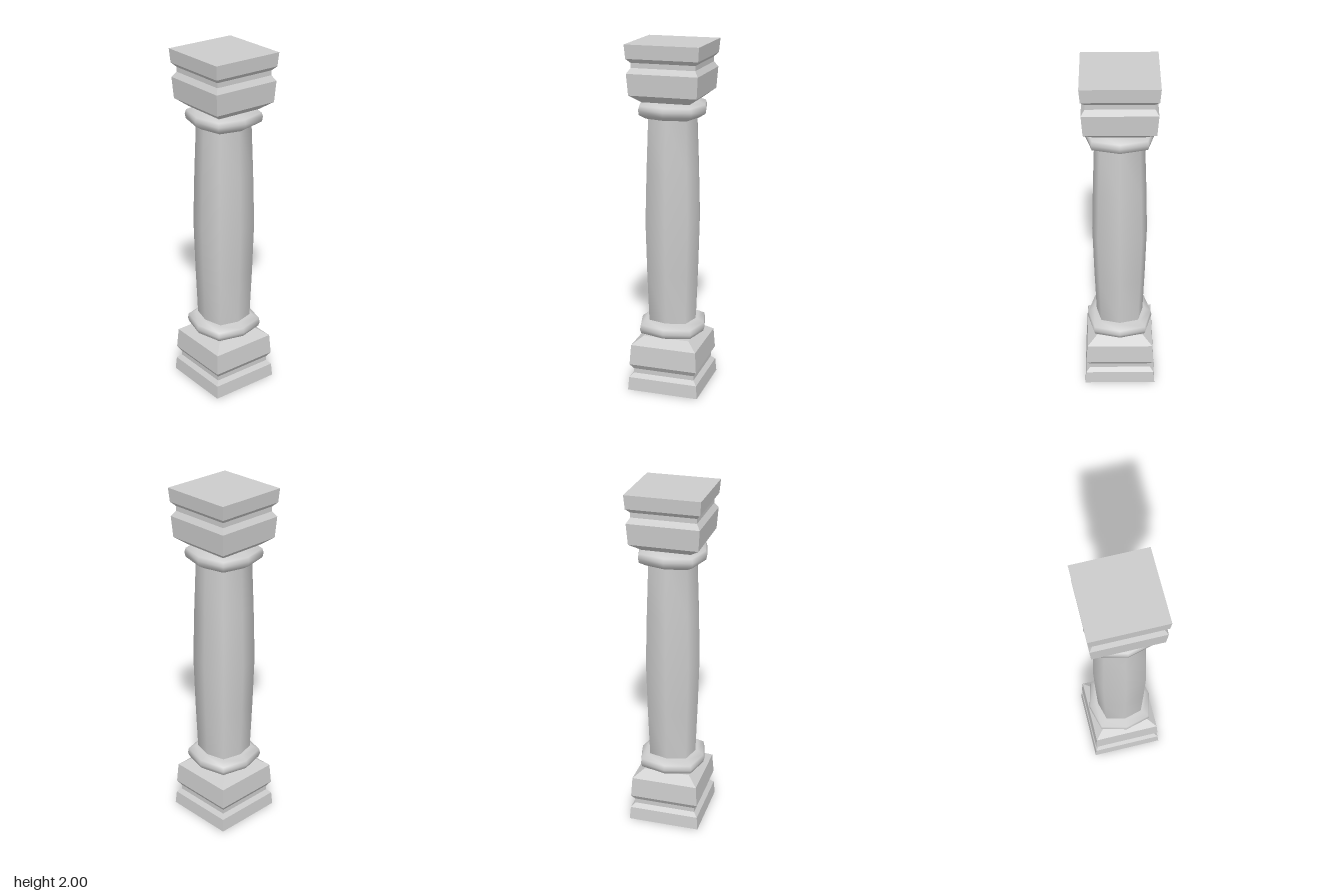
import * as THREE from 'three';
import { mergeVertices } from 'three/addons/utils/BufferGeometryUtils.js';

// Profiles are [half width, height] pairs, running upwards.
const BASE = [[0, 0], [0.208, 0], [0.202, 0.077], [0.18, 0.1], [0.18, 0.127],
  [0.2, 0.157], [0.192, 0.275], [0.135, 0.318], [0, 0.318]];
const RING = [[0, 0.318], [0.14, 0.318], [0.184, 0.337], [0.191, 0.36],
  [0.186, 0.388], [0.15, 0.41], [0, 0.41]];
const SHAFT = [[0.136, 0.4], [0.147, 0.7], [0.155, 1], [0.147, 1.3], [0.136, 1.6]];

const DIAGONAL = 1.12; // round parts are slightly squarish: wider on the diagonals

const flip = (profile) => profile.map(([r, y]) => [r, 2 - y]).reverse();
const toPoints = (profile, k = 1) => profile.map(([r, y]) => new THREE.Vector2(r * k, y));

// Four-sided moulding with flat faces
function squareMoulding(name, profile) {
  const geometry = new THREE.LatheGeometry(toPoints(profile, Math.SQRT2), 4, Math.PI / 4);
  const material = new THREE.MeshStandardMaterial({ color: 0xcccccc, flatShading: true });
  const mesh = new THREE.Mesh(geometry, material);
  mesh.name = name;
  return mesh;
}

// Eight-sided smooth part, with its diagonal corners pushed outwards
function roundPart(name, profile) {
  let geometry = new THREE.LatheGeometry(toPoints(profile), 8);
  const p = geometry.attributes.position;
  for (let i = 0; i < p.count; i++) {
    const x = p.getX(i), z = p.getZ(i);
    if (Math.abs(x * z) > 1e-6) {
      p.setX(i, x * DIAGONAL);
      p.setZ(i, z * DIAGONAL);
    }
  }
  geometry.deleteAttribute('uv');
  geometry.deleteAttribute('normal');
  geometry = mergeVertices(geometry, 1e-5);
  geometry.computeVertexNormals();
  const mesh = new THREE.Mesh(geometry, new THREE.MeshStandardMaterial({ color: 0xcccccc }));
  mesh.name = name;
  return mesh;
}

export function createModel() {
  const column = new THREE.Group();
  column.name = 'column';
  column.add(
    squareMoulding('base', BASE),
    roundPart('lowerRing', RING),
    roundPart('shaft', SHAFT),
    roundPart('upperRing', flip(RING)),
    squareMoulding('capital', flip(BASE)),
  );
  return column;
}
